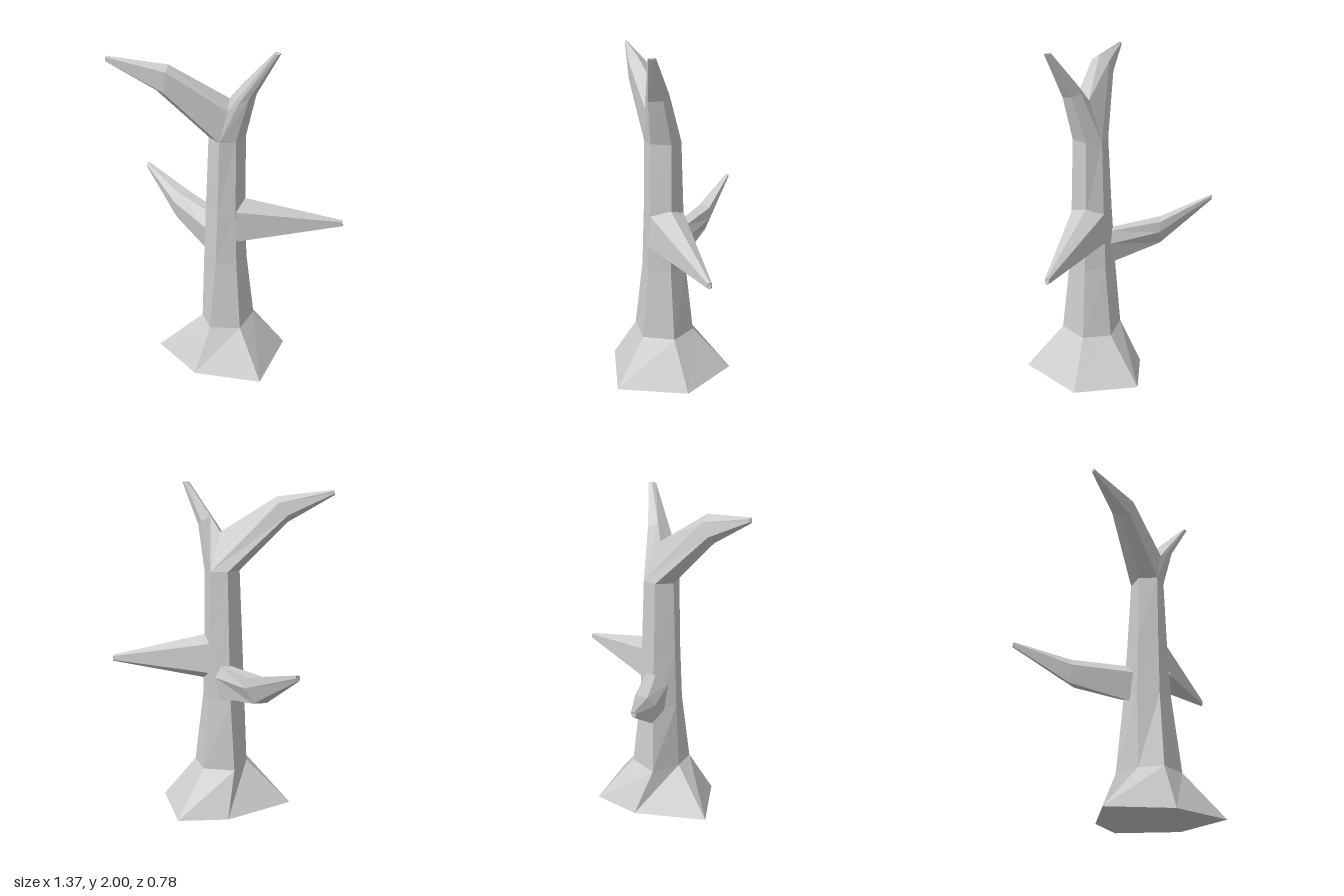
import * as THREE from 'three';

const bark = new THREE.MeshStandardMaterial({ color: 0xcccccc, flatShading: true });

// Skin matching rings (counterclockwise seen from the far end), capping the far end and optionally the near end
function loft(name, rings, capStart = false) {
  const pos = [];
  const tri = (a, b, c) => pos.push(...a, ...b, ...c);
  const n = rings[0].length;
  for (let r = 0; r < rings.length - 1; r++) {
    const a = rings[r], b = rings[r + 1];
    for (let i = 0; i < n; i++) {
      const j = (i + 1) % n;
      tri(a[i], a[j], b[j]);
      tri(a[i], b[j], b[i]);
    }
  }
  const end = rings[rings.length - 1];
  for (let i = 1; i < n - 1; i++) {
    tri(end[0], end[i], end[i + 1]);
    if (capStart) tri(rings[0][0], rings[0][i + 1], rings[0][i]);
  }
  const g = new THREE.BufferGeometry();
  g.setAttribute('position', new THREE.Float32BufferAttribute(pos, 3));
  g.computeVertexNormals();
  const mesh = new THREE.Mesh(g, bark);
  mesh.name = name;
  return mesh;
}

// Small end ring: the previous ring shrunk per axis around a new centre
function tip(ring, centre, scale) {
  const mid = [0, 1, 2].map(k => ring.reduce((s, p) => s + p[k], 0) / ring.length);
  return ring.map(p => p.map((v, k) => centre[k] + (v - mid[k]) * scale[k]));
}

export function createModel() {
  const tree = new THREE.Group();
  tree.name = 'bareTree';

  // Trunk rings in x, z: front, left front, left back, back, right back, right front
  const level = (y, pts) => pts.map(([x, z]) => [x, y, z]);
  const top = level(1.485, [[0.09, 0.145], [0.165, 0.09], [0.165, -0.03], [0.08, -0.07], [-0.01, -0.02], [-0.01, 0.09]]);
  const trunk = [
    level(0, [[0.05, 0.38], [0.44, 0.25], [0.4, -0.18], [0.07, -0.39], [-0.15, -0.18], [-0.3, 0.25]]),
    level(0.26, [[0.07, 0.225], [0.235, 0.135], [0.23, -0.06], [0.08, -0.15], [-0.09, -0.05], [-0.04, 0.13]]),
    level(0.7, [[0.08, 0.17], [0.19, 0.11], [0.185, -0.03], [0.08, -0.1], [-0.05, -0.04], [-0.035, 0.11]]),
    level(1.05, [[0.085, 0.155], [0.175, 0.1], [0.17, -0.03], [0.08, -0.085], [-0.03, -0.03], [-0.025, 0.1]]),
    top,
  ];
  tree.add(loft('trunk', trunk, true));

  // Two crown limbs share the trunk top and meet along the crotch
  const [f, lf, lb, b, rb, rf] = top;
  const crotchFront = [0.13, 1.67, 0.125], crotchBack = [0.09, 1.71, 0.03];

  const leftMid = [[0.19, 1.72, 0.11], [0.235, 1.74, 0.085], [0.24, 1.75, 0.0],
    [0.19, 1.77, -0.025], [0.165, 1.8, 0.03], [0.18, 1.745, 0.108]];
  tree.add(loft('upperLeftLimb', [[f, lf, lb, b, crotchBack, crotchFront], leftMid,
    tip(leftMid, [0.367, 1.995, 0.035], [0.42, 0.1, 0.33])]));

  const rightMid = [[-0.17, 1.775, 0.295], [-0.15, 1.885, 0.29], [-0.165, 1.915, 0.24],
    [-0.21, 1.88, 0.2], [-0.26, 1.81, 0.22], [-0.23, 1.77, 0.265]];
  tree.add(loft('upperRightLimb', [[f, crotchFront, crotchBack, b, rb, rf], rightMid,
    tip(rightMid, [-0.465, 1.94, 0.385], [0.1, 0.2, 0.15])]));

  // Straight spike on the left side
  const spikeBase = [[0.08, 1.05, -0.085], [0.165, 1.09, -0.025], [0.17, 1.05, 0.1],
    [0.185, 0.86, 0.105], [0.18, 0.81, -0.03], [0.08, 0.87, -0.093]];
  tree.add(loft('lowerLeftBranch', [spikeBase, tip(spikeBase, [0.68, 0.91, -0.332], [0.1, 0.14, 0.12])]));

  // Bent branch on the right side
  const bentBase = [[-0.03, 0.85, 0.06], [-0.035, 0.92, -0.02], [0.0, 0.92, -0.07],
    [0.03, 0.85, -0.09], [0.0, 0.72, -0.08], [-0.045, 0.68, 0.03]];
  const bentMid = [[-0.37, 0.89, -0.085], [-0.36, 0.94, -0.125], [-0.3, 0.935, -0.185],
    [-0.28, 0.87, -0.19], [-0.32, 0.78, -0.16], [-0.37, 0.78, -0.1]];
  tree.add(loft('lowerRightBranch', [bentBase, bentMid, tip(bentMid, [-0.683, 1.025, -0.25], [0.1, 0.2, 0.25])]));

  return tree;
}
